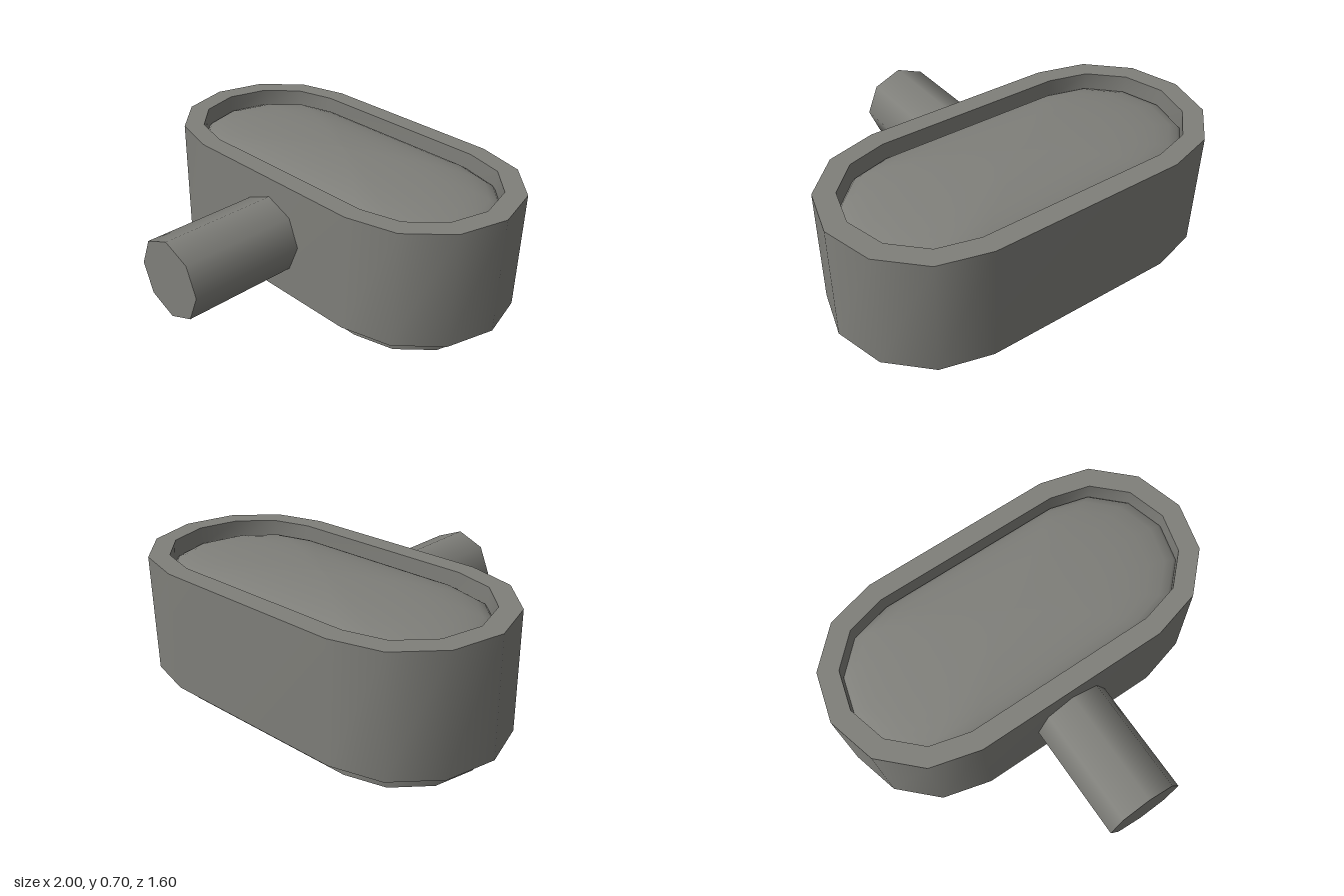
import * as THREE from 'three';

const CENTER_Z = -0.3;

// Capsule-shaped outline: two half circles of six sides joined by straight runs.
function ring({ half, r, y }) {
  const points = [];
  for (const side of [1, -1]) {
    for (let i = 0; i <= 6; i++) {
      const a = -Math.PI / 2 + (i * Math.PI) / 6 + (side < 0 ? Math.PI : 0);
      points.push(side * half + r * Math.cos(a), y, CENTER_Z + r * Math.sin(a));
    }
  }
  return points;
}

// Smooth skin through a list of capsule outlines.
function skin(levels) {
  const n = 14;
  const index = [];
  for (let k = 0; k < levels.length - 1; k++) {
    for (let i = 0; i < n; i++) {
      const a = k * n + i;
      const b = k * n + ((i + 1) % n);
      index.push(a, a + n, b, b, a + n, b + n);
    }
  }
  const geometry = new THREE.BufferGeometry();
  geometry.setAttribute('position', new THREE.Float32BufferAttribute(levels.flatMap(ring), 3));
  geometry.setIndex(index);
  geometry.computeVertexNormals();
  return geometry;
}

export function createModel() {
  const model = new THREE.Group();
  model.name = 'capsuleHousing';
  const grey = new THREE.MeshStandardMaterial({ color: 0x7f7f7a });
  grey.name = 'warm grey';

  const add = (name, geometry, parent = model) => {
    const mesh = new THREE.Mesh(geometry, grey);
    mesh.name = name;
    parent.add(mesh);
    return mesh;
  };

  const outer = (y) => ({ half: 0.5, r: 0.5, y });
  const inner = (y) => ({ half: 0.495, r: 0.4, y });

  // Plinth
  const plinth = new THREE.Group();
  plinth.name = 'plinth';
  model.add(plinth);
  add('plinthBottom', skin([{ half: 0.495, r: 0, y: 0 }, inner(0)]), plinth);
  add('plinthWall', skin([inner(0), inner(0.1)]), plinth);

  // Body shell with a flat rim and a shallow recess
  const body = new THREE.Group();
  body.name = 'body';
  model.add(body);
  add('bodyUnderside', skin([inner(0.1), outer(0.1)]), body);
  add('bodyWall', skin([outer(0.1), outer(0.7)]), body);
  add('rim', skin([outer(0.7), inner(0.7)]), body);
  add('recessWall', skin([inner(0.7), inner(0.6)]), body);

  // Domed top filling the recess, rounded steeply at its edge
  const dome = [];
  for (let i = 0; i <= 8; i++) {
    const a = (i / 8) * (Math.PI / 2);
    const t = Math.cos(a);
    dome.push({ half: 0.495 * t, r: 0.4 * t, y: 0.6 + 0.1 * Math.sin(a) });
  }
  add('domedTop', skin(dome), body);

  // Octagonal peg on the front
  const peg = add('frontPeg', new THREE.CylinderGeometry(0.2, 0.2, 0.65, 8));
  peg.rotation.x = Math.PI / 2;
  peg.position.set(0, 0.4, 0.475);

  return model;
}
